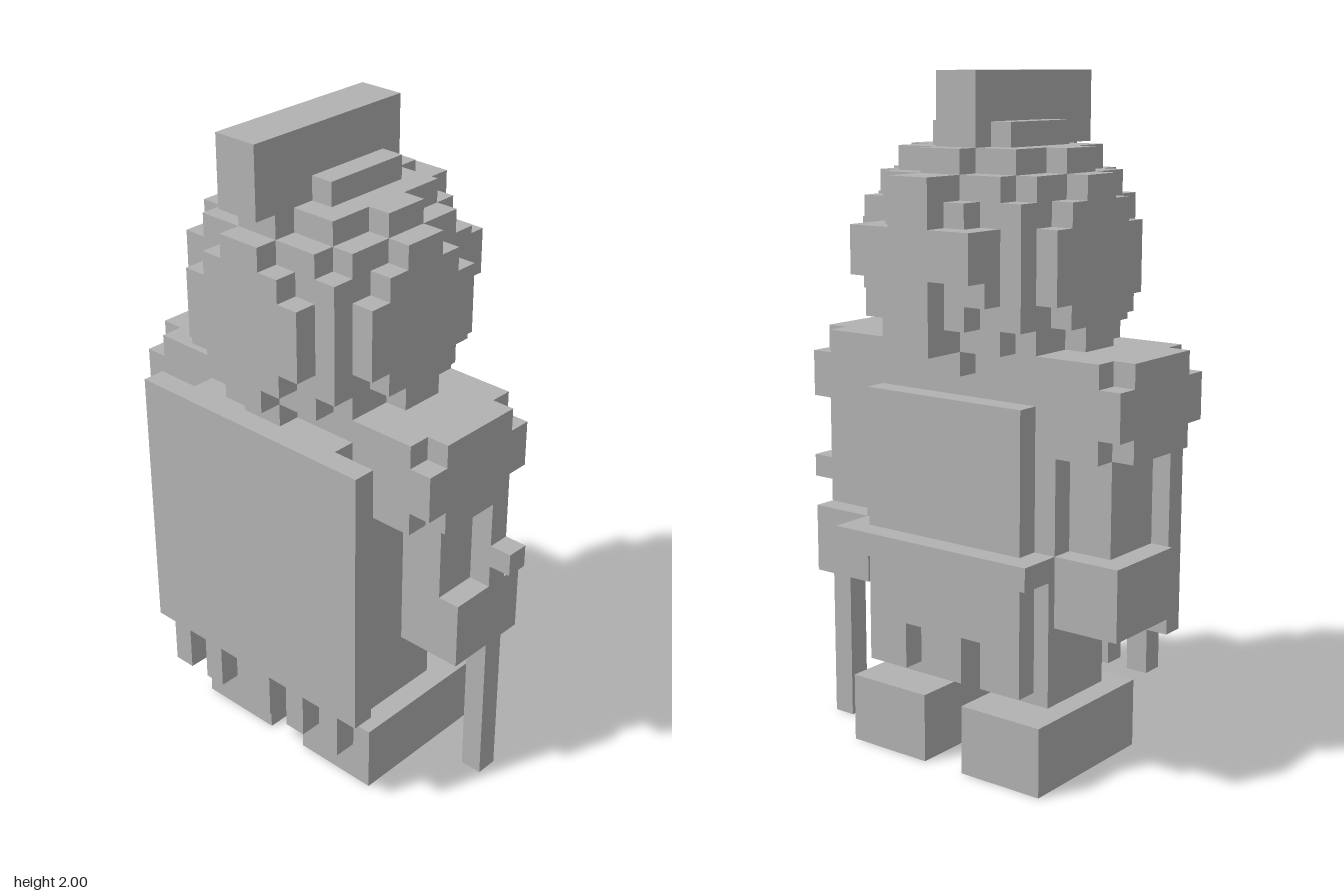
import * as THREE from 'three';

const U = 2 / 29; // size of one block

export function createModel() {
  const model = new THREE.Group();
  const grey = new THREE.MeshStandardMaterial({ color: 0xb2b2b2 });
  grey.name = 'plain grey';

  // Box spanning block coordinates: x 0..17, y 0..29, z 0..11
  function block(name, x0, x1, y0, y1, z0, z1) {
    const mesh = new THREE.Mesh(new THREE.BoxGeometry((x1 - x0) * U, (y1 - y0) * U, (z1 - z0) * U), grey);
    mesh.position.set(((x0 + x1) / 2 - 8.5) * U, ((y0 + y1) / 2) * U, ((z0 + z1) / 2 - 5.5) * U);
    mesh.name = name;
    model.add(mesh);
  }
  // The figure is mirrored about block column x = 8
  function pair(name, x0, x1, ...rest) {
    block(name + 'Right', x0, x1, ...rest);
    block(name + 'Left', 16 - x1, 16 - x0, ...rest);
  }

  // Feet, legs and arms
  pair('foot', 3, 7, 0, 3, 2, 9);
  pair('leg', 4, 7, 3, 9, 4, 8);
  block('hips', 4, 12, 7, 9, 4, 8);
  pair('arm', 1, 3, 10, 14, 4, 7);
  pair('hand', 0, 3, 7, 10, 3, 7);

  // Shoulders: boxes with the outer corner blocks left out
  pair('shoulder', 1, 4, 14, 18, 3, 9);
  pair('shoulderRimUpright', 0, 1, 14, 18, 4, 8);
  pair('shoulderRimFlat', 0, 1, 15, 17, 3, 9);

  // Torso, belt and armour plates
  block('torso', 3, 13, 9, 17, 3, 9);
  block('neck', 4, 12, 17, 18, 3, 9);
  block('belt', 3, 13, 9, 10, 1, 10);
  block('breastPlate', 4, 12, 10, 16, 2, 3);
  block('backPlate', 4, 12, 10, 16, 9, 10);

  // Skirt with notches
  block('skirt', 4, 12, 6, 9, 2, 3);
  for (const [a, b] of [[4, 6], [7, 9], [10, 12]]) block('skirtFlap', a, b, 4, 6, 2, 3);

  // Cape with a fringed hem
  block('cape', 2, 14, 5, 17, 10, 11);
  block('capeStrap', 4, 12, 16, 17, 9, 10);
  for (const [a, b] of [[3, 4], [5, 6], [7, 9], [10, 11], [12, 13]]) block('capeFringe', a, b, 3, 5, 10, 11);

  // Helmet: stepped ball made of crossing boxes, given as half sizes
  const steps = [
    [4, 2.5, 4], [4, 3.5, 3], [3, 3.5, 4],
    [5, 1.5, 3], [5, 2.5, 2], [5, 3.5, 1],
    [3, 1.5, 5], [2, 2.5, 5], [1, 3.5, 5],
    [4, 4.5, 1], [3, 4.5, 3], [1, 4.5, 4],
  ];
  for (const [a, b, c] of steps) block('helmet', 8 - a, 8 + a, 21.5 - b, 21.5 + b, 6 - c, 6 + c);

  // Visor cross, crest and its side ridges
  block('visorUpright', 7, 9, 18, 25, 0, 1);
  block('visorBar', 5, 11, 21, 23, 0, 1);
  block('crest', 7, 9, 26, 29, 3, 11);
  pair('crestRidge', 6, 7, 26, 27, 4, 8);

  // Sword held in the left hand
  block('sword', 15, 16, 0, 14, 4, 5);
  block('swordGuard', 16, 17, 11, 12, 4, 5);

  return model;
}
